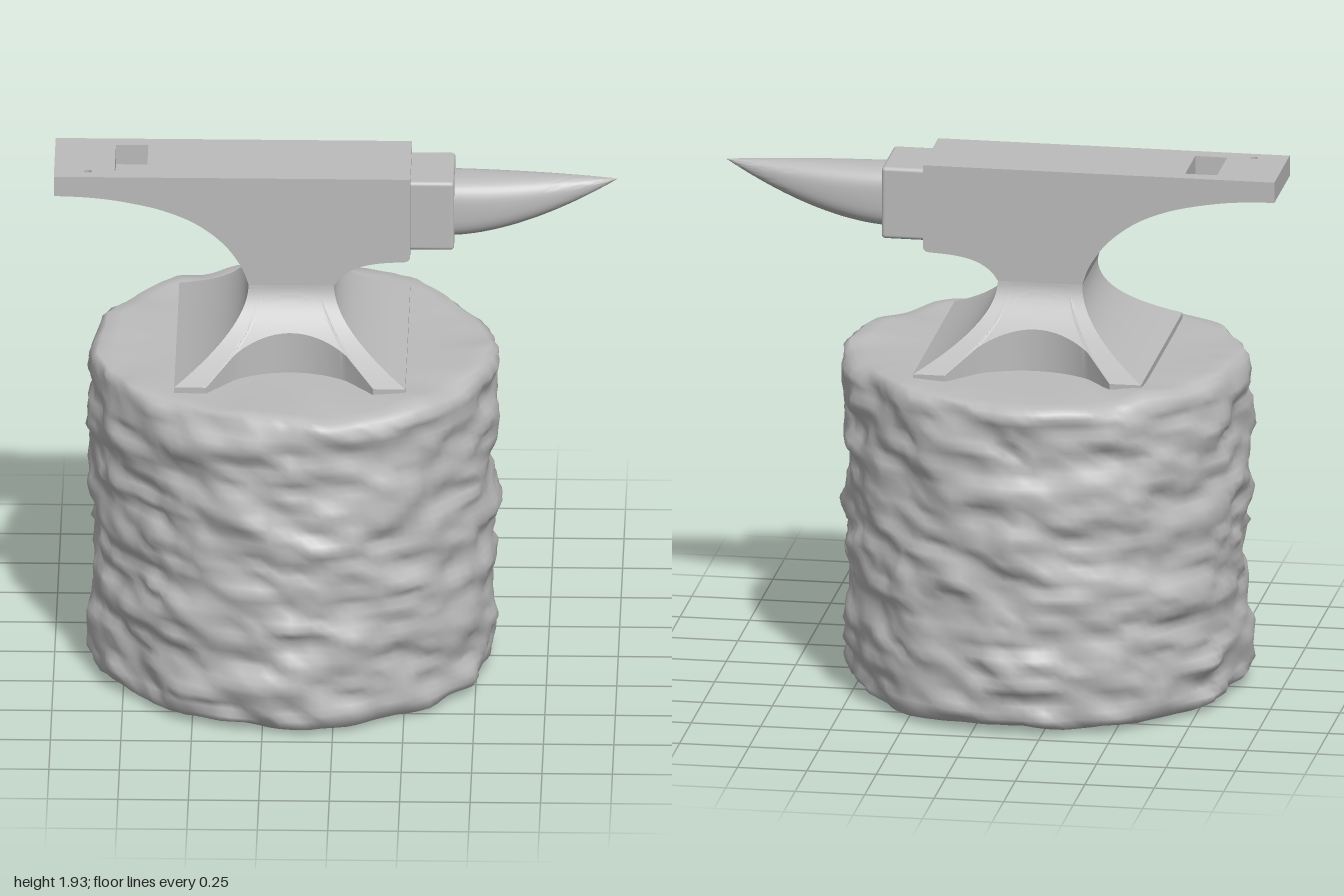
import * as THREE from 'three';
import { mergeVertices, toCreasedNormals } from 'three/addons/utils/BufferGeometryUtils.js';
import { RoundedBoxGeometry } from 'three/addons/geometries/RoundedBoxGeometry.js';
import { ParametricGeometry } from 'three/addons/geometries/ParametricGeometry.js';

const MID = -0.157;    // centre of the waist and stump in x
const WAIST = 1.52;    // height where the flared base meets the upper body
const FOOT = 1.245;    // height of the foot edges
const HALF_Z = 0.165;  // half thickness of the body

const { lerp, clamp } = THREE.MathUtils;
const v2 = (x, y) => new THREE.Vector2(x, y);

// Repeatable lattice noise in [-1, 1] that wraps around the stump
function hash(i, j, seed) {
  const s = Math.sin(i * 127.1 + j * 311.7 + seed * 74.7) * 43758.5453;
  return (s - Math.floor(s)) * 2 - 1;
}
function noise(turn, y, cells, rows, seed) {
  const a = turn * cells, b = y * rows;
  const i = Math.floor(a), j = Math.floor(b);
  const smooth = (t) => t * t * (3 - 2 * t);
  const fa = smooth(a - i), fb = smooth(b - j);
  const h = (m, n) => hash(((m % cells) + cells) % cells, n, seed);
  return lerp(lerp(h(i, j), h(i + 1, j), fa), lerp(h(i, j + 1), h(i + 1, j + 1), fa), fb);
}

// Rough log: a turned profile with lumpy bark
function stumpGeometry() {
  const profile = [v2(0, 0.015), v2(0.3, 0.015), v2(0.55, 0.015), v2(0.66, 0.018), v2(0.695, 0.035)];
  for (let i = 0; i <= 44; i++) profile.push(v2(0.712, lerp(0.06, 1.18, i / 44)));
  profile.push(v2(0.7, 1.205), v2(0.68, 1.222), v2(0.63, 1.226), v2(0.5, 1.222), v2(0.3, 1.22), v2(0, 1.22));
  let geo = new THREE.LatheGeometry(profile, 120);
  const p = geo.attributes.position;
  for (let i = 0; i < p.count; i++) {
    const x = p.getX(i), y = p.getY(i), z = p.getZ(i);
    const r = Math.hypot(x, z);
    if (r < 0.01) continue;
    const turn = (Math.round((Math.atan2(x, z) / (Math.PI * 2) + 1) * 120) % 120) / 120;
    const bark = 0.022 * noise(turn, y, 22, 11, 1) + 0.017 * noise(turn, y, 40, 22, 2)
      + 0.012 * noise(turn, 0, 9, 1, 3) + 0.007 * noise(turn, y, 110, 34, 4);
    const edge = clamp((r - 0.5) / 0.2, 0, 1);
    const k = (r + bark * edge) / r;
    const rim = r > 0.6 && (y > 1.19 || y < 0.05) ? 0.014 * noise(turn, y > 1, 26, 1, 5) : 0;
    p.setXYZ(i, x * k, y + rim, z * k);
  }
  geo.deleteAttribute('uv');
  geo.deleteAttribute('normal');
  geo = mergeVertices(geo, 1e-4);
  geo.computeVertexNormals();
  return geo;
}

// Flared base: half sizes in z and x at height y
const flare = (y) => (WAIST - y) / (WAIST - FOOT);
const baseZ = (y) => HALF_Z + 0.28 * Math.pow(flare(y), 1.8);
const baseX = (y) => 0.152 + 0.258 * Math.pow(flare(y), 2.1);

// Round cut between the feet, as a z limit at distance dx from the middle
function cutZ(dx) {
  const r = 0.316;
  return Math.abs(dx) < r ? 0.571 - Math.sqrt(r * r - dx * dx) : Infinity;
}
function lowestY(u) {
  let lo = FOOT, hi = WAIST;
  if (baseZ(lo) <= cutZ(u * baseX(lo))) return lo;
  for (let i = 0; i < 30; i++) {
    const m = (lo + hi) / 2;
    if (baseZ(m) <= cutZ(u * baseX(m))) hi = m; else lo = m;
  }
  return hi;
}

// One face of the base: a curved slope ending in an upright wall
const ROWS = 20;
function baseFace(alongX) {
  const geo = new ParametricGeometry((a, b, out) => {
    const u = clamp(a, 0, 1) * 2 - 1;
    const row = clamp(b, 0, 1) * ROWS;
    const low = alongX ? lowestY(u) : FOOT;
    const y = Math.min(WAIST, lerp(low, WAIST, Math.max(0, row - 1) / (ROWS - 1)));
    const height = row < 1 ? lerp(1.18, low, row) : y;
    if (alongX) out.set(u * baseX(y), height, baseZ(y));
    else out.set(baseX(y), height, -u * baseZ(y));
  }, alongX ? 72 : 8, ROWS);
  return toCreasedNormals(geo, 0.6);
}

// Upper body outline below the face plate, extruded across z
function bodyGeometry() {
  const s = new THREE.Shape();
  s.moveTo(-1, 1.86);
  s.splineThru([v2(-0.88, 1.855), v2(-0.76, 1.84), v2(-0.62, 1.808), v2(-0.5, 1.757),
    v2(-0.4, 1.68), v2(-0.335, 1.59), v2(MID - 0.152, WAIST)]);
  s.lineTo(MID + 0.152, WAIST);
  s.splineThru([v2(0.022, 1.555), v2(0.075, 1.588), v2(0.15, 1.606), v2(0.245, 1.613)]);
  s.quadraticCurveTo(0.265, 1.616, 0.265, 1.636);
  s.lineTo(0.265, 1.86);
  const geo = new THREE.ExtrudeGeometry(s, { depth: HALF_Z * 2, bevelEnabled: false, curveSegments: 6 });
  return toCreasedNormals(geo.translate(0, 0, -HALF_Z), 0.6);
}

// Flat working face with a square hole and a small round hole
function plateGeometry() {
  const rect = (T, x0, x1, y0, y1) => new T([v2(x0, y0), v2(x1, y0), v2(x1, y1), v2(x0, y1)]);
  const s = rect(THREE.Shape, -1, 0.265, -HALF_Z, HALF_Z);
  s.holes.push(rect(THREE.Path, -0.785, -0.67, -0.105, 0.11));
  s.holes.push(new THREE.Path().absarc(-0.88, -0.115, 0.013, 0, Math.PI * 2));
  const geo = new THREE.ExtrudeGeometry(s, { depth: 0.075, bevelEnabled: false, curveSegments: 10 });
  return toCreasedNormals(geo.rotateX(-Math.PI / 2).translate(0, 1.86, 0), 0.6);
}

// Horn: rounded square sections shrinking to a point
function hornGeometry() {
  const geo = new ParametricGeometry((a, b, out) => {
    const t = clamp(b, 0, 1), angle = a * Math.PI * 2;
    const q = 1 - Math.pow(1 - t, 1.3);
    const top = lerp(1.885, 1.872, q * q * q);
    const bottom = lerp(1.668, 1.872, Math.pow(q, 1.75));
    const width = 0.105 * (1 - Math.pow(q, 1.85));
    const round = (c) => Math.sign(c) * Math.pow(Math.abs(c), lerp(0.62, 0.95, q));
    out.set(lerp(0.41, 1, q), (top + bottom) / 2 + round(Math.cos(angle)) * (top - bottom) / 2,
      round(Math.sin(angle)) * width);
  }, 40, 28);
  return toCreasedNormals(geo, 0.9);
}

export function createModel() {
  const model = new THREE.Group();
  model.name = 'anvilOnStump';
  const grey = new THREE.MeshStandardMaterial({ color: 0xbcbcbc });
  grey.name = 'plainGrey';
  const add = (parent, name, geo) => {
    const mesh = new THREE.Mesh(geo, grey);
    mesh.name = name;
    parent.add(mesh);
    return mesh;
  };

  add(model, 'stump', stumpGeometry()).position.x = -0.15;

  const anvil = new THREE.Group();
  anvil.name = 'anvil';
  model.add(anvil);
  add(anvil, 'body', bodyGeometry());
  add(anvil, 'facePlate', plateGeometry());
  add(anvil, 'step', new RoundedBoxGeometry(0.19, 0.265, 0.27, 3, 0.014)).position.set(0.325, 1.7775, 0);
  add(anvil, 'horn', hornGeometry());

  // Feet: the same two faces turned to all four sides
  const base = new THREE.Group();
  base.name = 'base';
  base.position.x = MID;
  anvil.add(base);
  for (const alongX of [true, false]) {
    const geo = baseFace(alongX);
    for (const turn of [0, Math.PI]) {
      add(base, alongX ? 'archedSide' : 'slopedEnd', geo).rotation.y = turn;
    }
  }
  return model;
}
